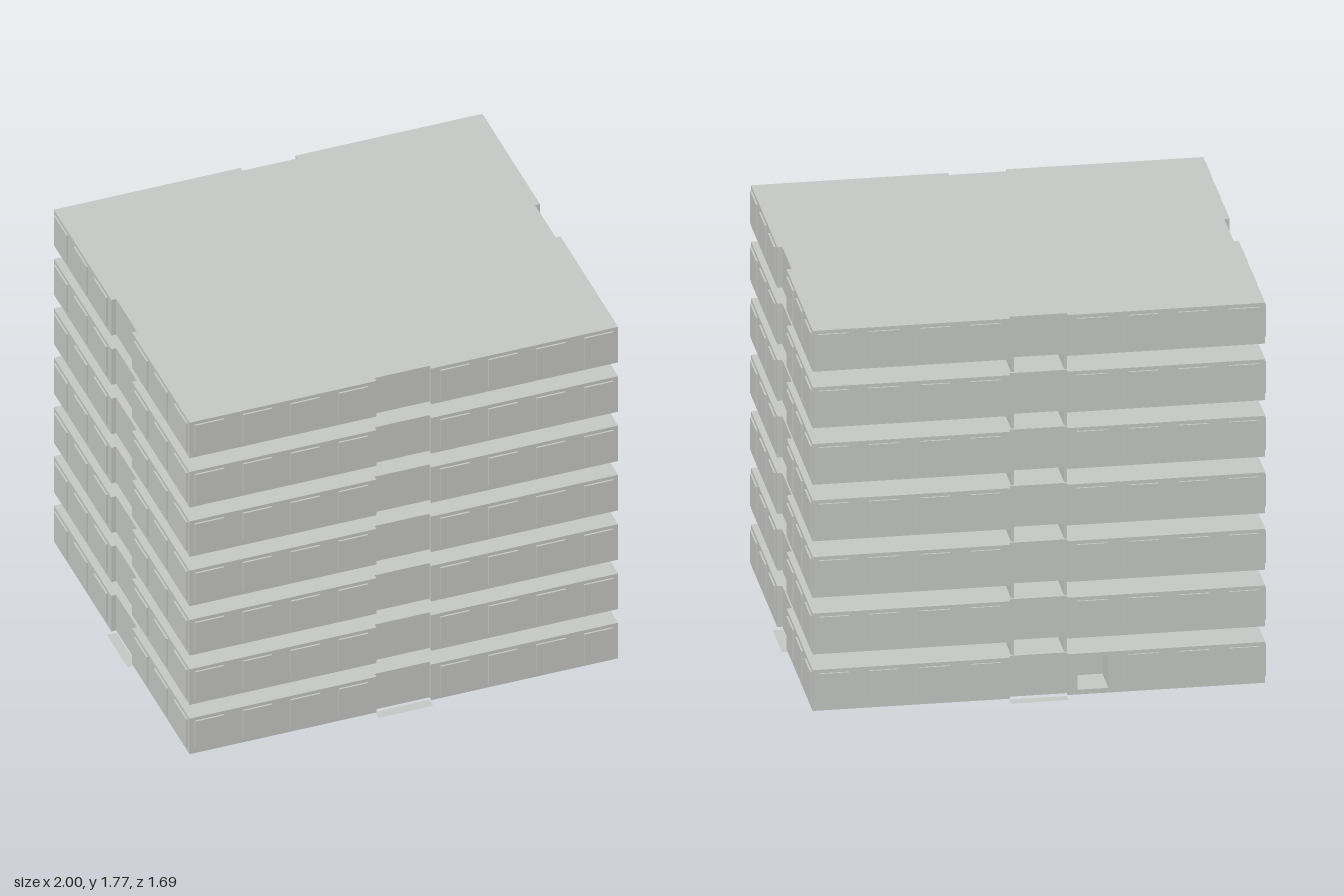
import * as THREE from 'three';

const W = 0.98, D = 0.822;          // half width and half depth of a storey
const FLOORS = 7, PITCH = 0.262, BASE = 0.013, HEIGHT = 0.189;
const BAY = 0.125, RECESS = 0.022;  // recessed bay in the middle of each side
const DOOR = { x0: -0.302, x1: -0.168, depth: 0.16, y0: 0.022, y1: 0.174 };

// Storey outline with four shallow recesses; optionally a doorway cut in the back
function outline(door) {
  const w = W - RECESS, d = D - RECESS, b = BAY;
  const pts = [
    [-W, -D], [-b, -D], [-b, -d], [b, -d], [b, -D], [W, -D],
    [W, -b], [w, -b], [w, b], [W, b], [W, D],
    [b, D], [b, d], [-b, d], [-b, D],
  ];
  if (door) {
    const inner = D - DOOR.depth;
    pts.push([DOOR.x1, D], [DOOR.x1, inner], [DOOR.x0, inner], [DOOR.x0, D]);
  }
  pts.push([-W, D], [-W, b], [-w, b], [-w, -b], [-W, -b]);
  return new THREE.Shape(pts.map(([x, y]) => new THREE.Vector2(x, y)));
}

function slab(y0, y1, door = false) {
  const g = new THREE.ExtrudeGeometry(outline(door), { depth: y1 - y0, bevelEnabled: false });
  g.rotateX(-Math.PI / 2);
  g.translate(0, y0, 0);
  return g;
}

export function createModel() {
  const model = new THREE.Group();
  model.name = 'officeBlock';
  const concrete = new THREE.MeshStandardMaterial({ color: 0xc8cac6 });
  concrete.name = 'paleConcrete';

  const add = (parent, geometry, name, x = 0, y = 0, z = 0) => {
    const m = new THREE.Mesh(geometry, concrete);
    m.name = name;
    m.position.set(x, y, z);
    parent.add(m);
    return m;
  };

  const frontWindow = new THREE.BoxGeometry(0.133, 0.149, 0.016);
  const sideWindow = new THREE.BoxGeometry(0.016, 0.149, 0.154);
  const storeySlab = slab(0, HEIGHT);

  for (let i = 0; i < FLOORS; i++) {
    const storey = new THREE.Group();
    storey.name = 'storey' + (i + 1);
    storey.position.y = BASE + i * PITCH;
    model.add(storey);

    if (i === 0) {
      // Ground storey in three layers, leaving a doorway at the back
      add(storey, slab(0, DOOR.y0), 'groundFloor');
      add(storey, slab(DOOR.y0, DOOR.y1, true), 'groundWalls');
      add(storey, slab(DOOR.y1, HEIGHT), 'groundCeiling');
    } else {
      add(storey, storeySlab, 'storeyBody');
    }

    // Raised window panels
    const y = 0.098;
    for (const s of [-1, 1]) {
      for (const x of [0.232, 0.452, 0.671, 0.89]) {
        add(storey, frontWindow, 'frontWindow', s * x, y, D);
        const isDoor = i === 0 && s < 0 && x === 0.232;
        if (!isDoor) add(storey, frontWindow, 'backWindow', s * x, y, -D);
      }
      for (const z of [0.245, 0.485, 0.725]) {
        add(storey, sideWindow, 'leftWindow', W, y, s * z);
        add(storey, sideWindow, 'rightWindow', -W, y, s * z);
      }
    }

    // Stair core between storeys: three walls, open to the back
    if (i < FLOORS - 1) {
      const h = PITCH - HEIGHT, yc = HEIGHT + h / 2;
      const wall = new THREE.BoxGeometry(0.012, h, 0.325);
      add(storey, wall, 'coreLeftWall', 0.109, yc, -0.627);
      add(storey, wall, 'coreRightWall', -0.121, yc, -0.627);
      add(storey, new THREE.BoxGeometry(0.218, h, 0.012), 'coreFrontWall', -0.006, yc, -0.47);
    }
  }

  // Paving at the foot of each recessed bay
  const pave = (w, d) => new THREE.PlaneGeometry(w, d).rotateX(-Math.PI / 2);
  for (const s of [-1, 1]) {
    add(model, pave(2 * BAY, 0.046), s > 0 ? 'frontPaving' : 'backPaving', 0, 0, s * 0.823);
    add(model, pave(0.044, 2 * BAY), s > 0 ? 'leftPaving' : 'rightPaving', s * 0.978, 0, 0);
  }
  return model;
}
